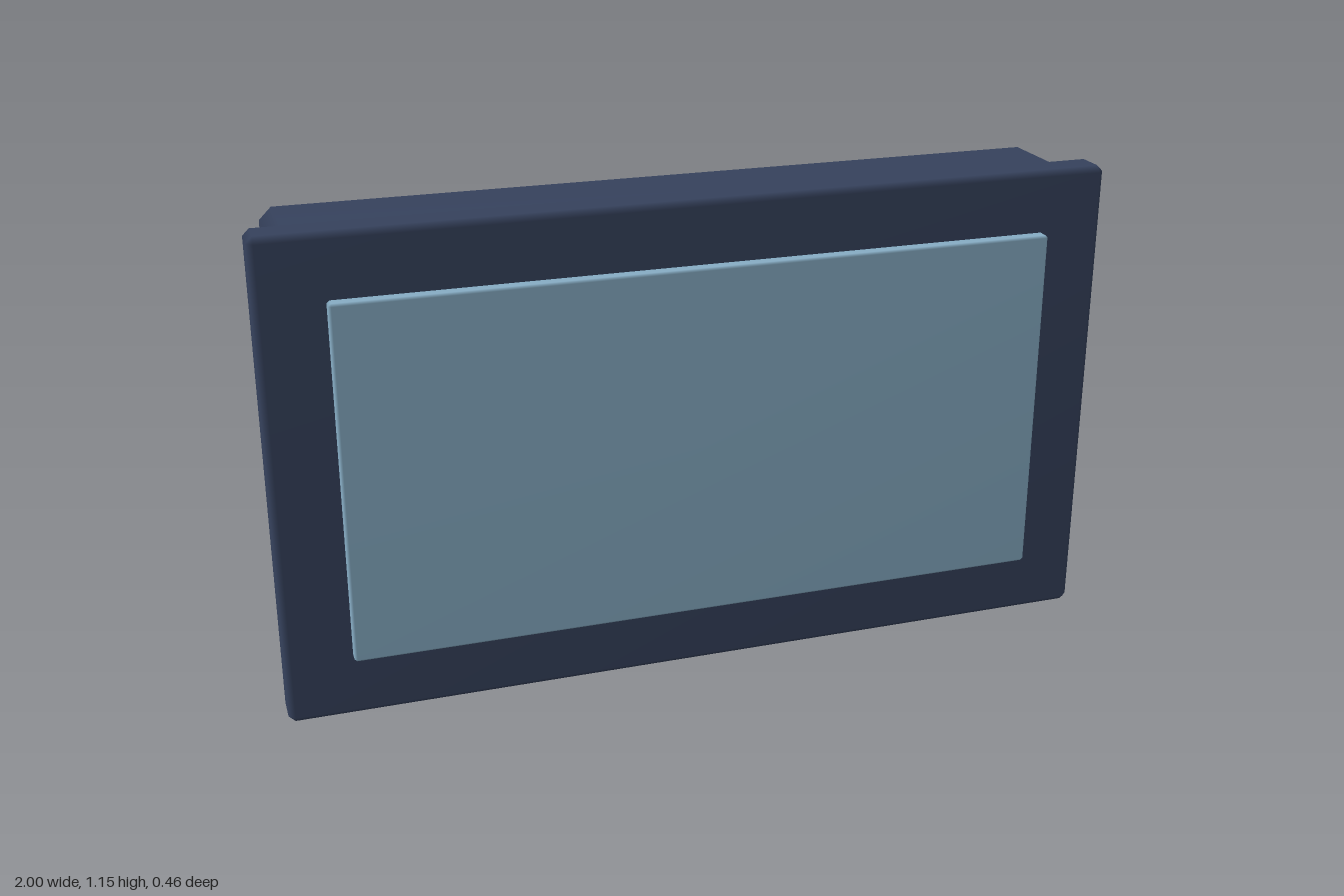
import * as THREE from 'three';

const navy = new THREE.MeshStandardMaterial({ name: 'navy casing', color: 0x36425d });
const blue = new THREE.MeshStandardMaterial({ name: 'pale blue screen', color: 0x87adc5 });

// Box with chamfered edges; the large faces stay flat and the chamfers shade softly.
// topScale narrows the top edge in x, lean pushes the bottom of the back face outwards.
function chamferBox({ w, y0, y1, z0, z1, chamfer, topScale = 1, lean = 0 }) {
  const half = [w / 2, (y1 - y0) / 2, (z1 - z0) / 2];
  const points = [];
  const index = [];
  const sign = (corner, axis) => ((corner >> axis) & 1 ? 1 : -1);
  const id = (corner, axis) => corner * 3 + axis;

  // Three points per corner, one lying on each adjoining face
  for (let c = 0; c < 8; c++) {
    for (let a = 0; a < 3; a++) {
      const p = half.map((h, k) => sign(c, k) * (k === a ? h : h - chamfer));
      points.push(new THREE.Vector3(...p));
    }
  }

  // The solid is convex about its centre, so outward winding can be checked
  const tri = (a, b, c) => {
    const [p, q, r] = [points[a], points[b], points[c]];
    const n = q.clone().sub(p).cross(r.clone().sub(p));
    index.push(...(n.dot(p) > 0 ? [a, b, c] : [a, c, b]));
  };
  const quad = (a, b, c, d) => { tri(a, b, c); tri(a, c, d); };

  for (let a = 0; a < 3; a++) {
    const u = 1 << ((a + 1) % 3), v = 1 << ((a + 2) % 3), s = 1 << a;
    // Two main faces across this axis
    for (const f of [0, s]) quad(id(f, a), id(f | u, a), id(f | u | v, a), id(f | v, a));
    // Four chamfered edges running along this axis
    const b = (a + 1) % 3, d = (a + 2) % 3;
    for (const e of [0, u, v, u | v]) quad(id(e, b), id(e | s, b), id(e | s, d), id(e, d));
  }
  for (let c = 0; c < 8; c++) tri(id(c, 0), id(c, 1), id(c, 2));

  // Taper, lean and move into place
  for (const p of points) {
    const t = p.y / (2 * half[1]) + 0.5;
    p.x *= 1 + (topScale - 1) * t;
    if (p.z < 0) p.z += lean * t;
    p.y += (y0 + y1) / 2;
    p.z += (z0 + z1) / 2;
  }
  const geometry = new THREE.BufferGeometry().setFromPoints(points);
  geometry.setIndex(index);
  geometry.computeVertexNormals();
  return geometry;
}

export function createModel() {
  const group = new THREE.Group();
  group.name = 'flatDisplay';
  const add = (name, material, size) => {
    const mesh = new THREE.Mesh(chamferBox(size), material);
    mesh.name = name;
    group.add(mesh);
  };

  // Front frame and raised screen
  add('bezel', navy, { w: 2, y0: 0, y1: 1.155, z0: 0.107, z1: 0.2, chamfer: 0.015 });
  add('screen', blue, { w: 1.69, y0: 0.152, y1: 1.006, z0: 0.17, z1: 0.23, chamfer: 0.006 });

  // Rear casing, narrowing towards the top
  add('rearCasing', navy, {
    w: 1.97, y0: 0.015, y1: 1.142, z0: -0.121, z1: 0.15, chamfer: 0.028, topScale: 0.96, lean: 0.006,
  });

  // Raised trapezoid panel on the back
  add('backPanel', navy, {
    w: 1.45, y0: 0.175, y1: 0.982, z0: -0.229, z1: -0.08, chamfer: 0.021, topScale: 0.87, lean: 0.011,
  });

  return group;
}
